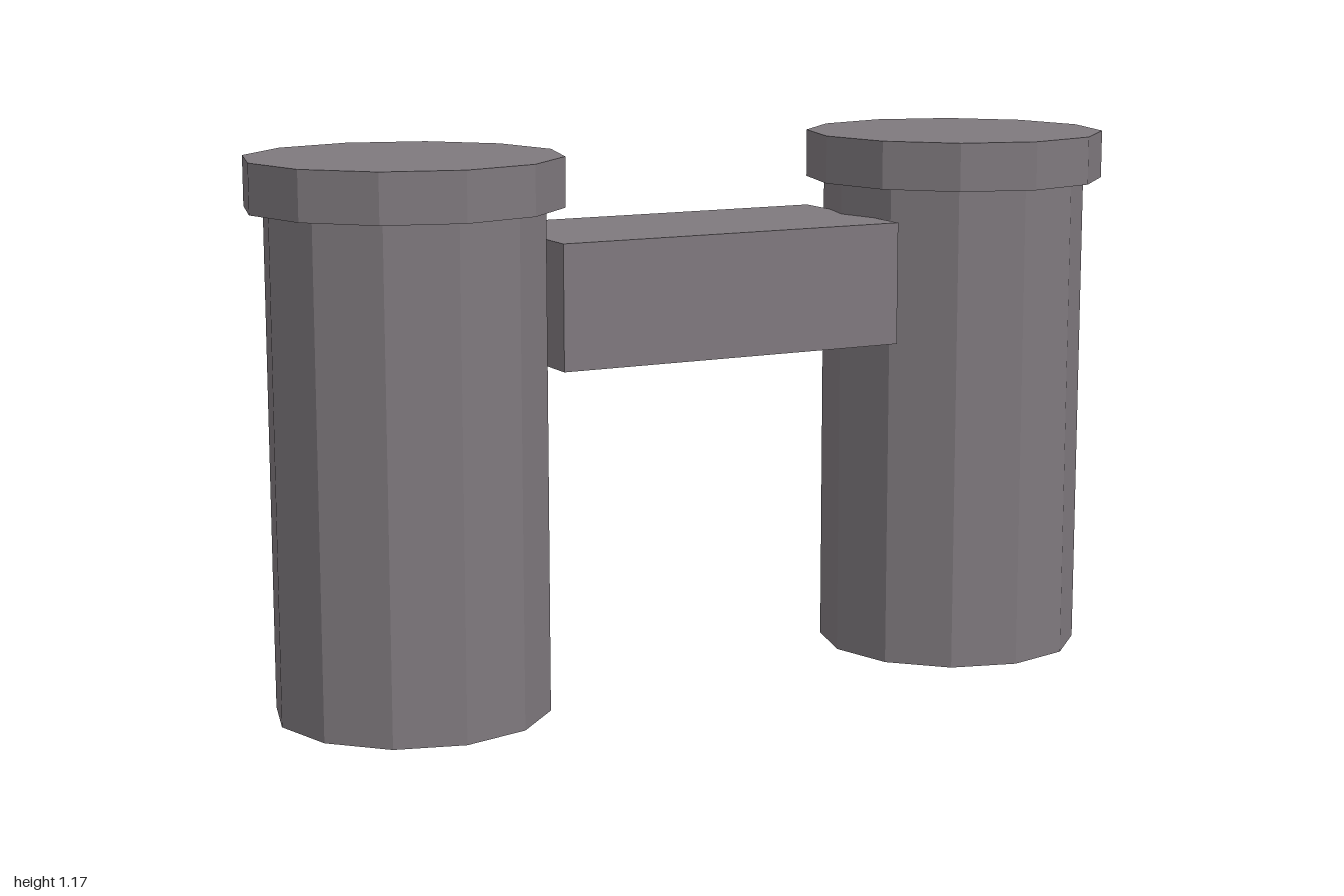
import * as THREE from 'three';

export function createModel() {
  const model = new THREE.Group();
  const stone = new THREE.MeshStandardMaterial({ color: 0x7f797e });
  stone.name = 'greyStone';

  const add = (parent, name, geometry, y) => {
    // Split the vertices so every facet stays flat
    const flat = geometry.toNonIndexed();
    flat.computeVertexNormals();
    const mesh = new THREE.Mesh(flat, stone);
    mesh.name = name;
    mesh.position.y = y;
    parent.add(mesh);
  };

  // Twelve-sided pillars with wider caps, one on each side
  for (const side of [-1, 1]) {
    const pillar = new THREE.Group();
    pillar.name = side > 0 ? 'leftPillar' : 'rightPillar';
    pillar.position.x = side * 0.667;
    add(pillar, 'shaft', new THREE.CylinderGeometry(0.293, 0.293, 1.07, 12), 0.535);
    add(pillar, 'cap', new THREE.CylinderGeometry(0.333, 0.333, 0.105, 12), 1.1225);
    model.add(pillar);
  }

  // Beam joining the pillars
  add(model, 'crossBeam', new THREE.BoxGeometry(0.8, 0.266, 0.4), 0.867);

  return model;
}
